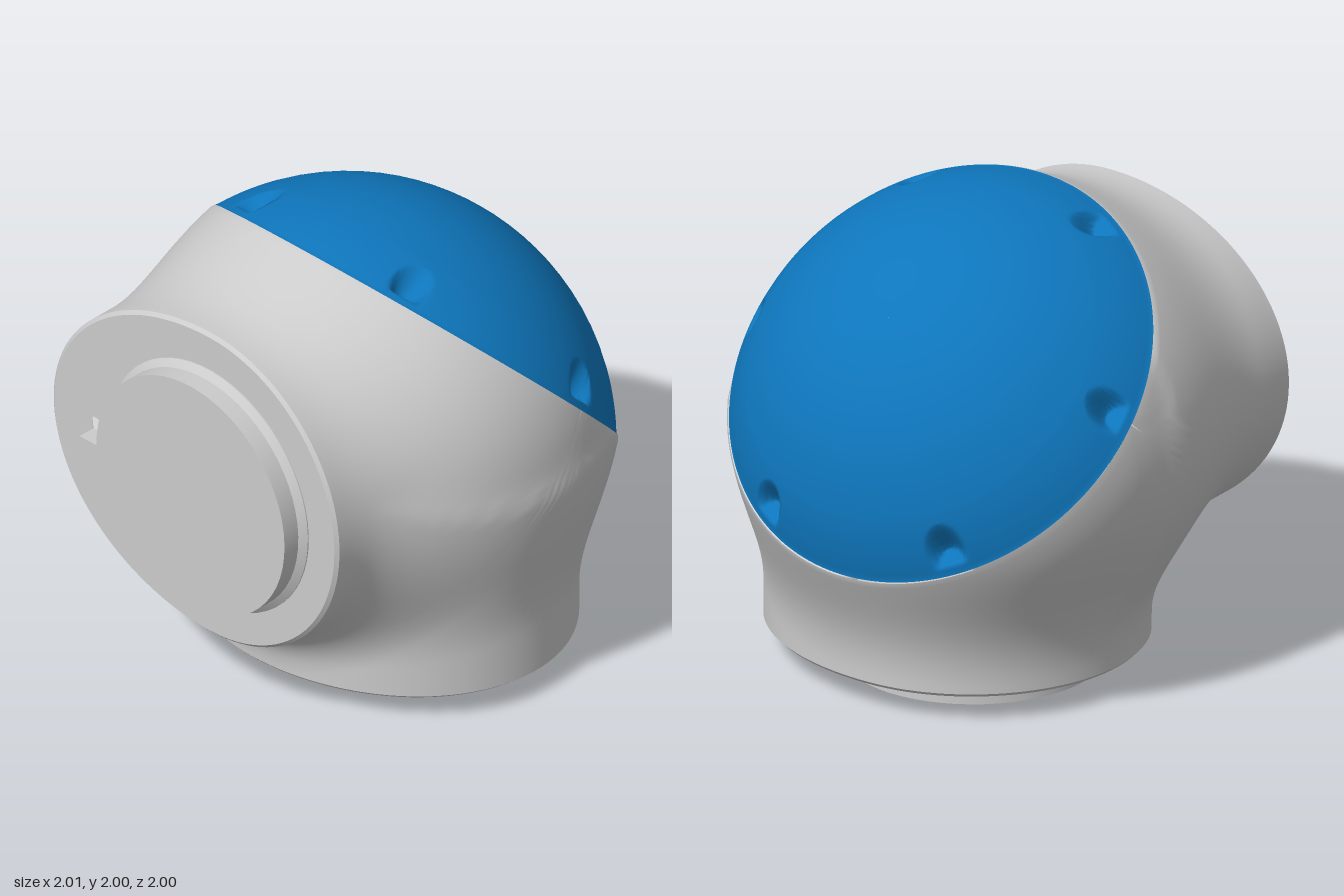
import * as THREE from 'three';
import { mergeGeometries, mergeVertices, toCreasedNormals } from 'three/addons/utils/BufferGeometryUtils.js';

const V = (x, y, z) => new THREE.Vector3(x, y, z);
const grey = new THREE.MeshStandardMaterial({ color: 0xcccccc });
const blue = new THREE.MeshStandardMaterial({ color: 0x0e76bc });

const S = Math.SQRT1_2;
const RIM = V(0, 1.31, -0.305), RIM_R = 0.94;      // cover rim circle, tilted 45 degrees
const AXIS = V(0, S, -S), TILT = V(0, S, S);       // cover axis and its in-plane partner
const CORE = V(0, 1, 0);                           // inner point the shell is seen from
const PORT_Y = 1.08, PORT_R = 0.73, FACE_Z = 0.89;

// half turn about the cover axis: carries the front port onto the bottom port
const HALF_TURN = new THREE.Matrix4().set(-1, 0, 0, 0, 0, 0, -1, 1, 0, -1, 0, 1, 0, 0, 0, 1);

// surface through rows of points; point(u, v) with u closed around
function loft(nu, rows, point) {
  const pos = [], idx = [];
  rows.forEach((v, j) => {
    for (let i = 0; i < nu; i++) {
      pos.push(...point((i / nu) * Math.PI * 2, v).toArray());
      if (!j) continue;
      const a = (j - 1) * nu + i, b = (j - 1) * nu + ((i + 1) % nu);
      idx.push(a, a + nu, b, b, a + nu, b + nu);
    }
  });
  const g = new THREE.BufferGeometry();
  g.setAttribute('position', new THREE.Float32BufferAttribute(pos, 3));
  g.setIndex(idx);
  return g;
}

const steps = (a, b, n) => Array.from({ length: n + 1 }, (_, i) => a + ((b - a) * i) / n);

// port outline: round, wider on the key side
const portPoint = (u, scale, z) => {
  const c = Math.cos(u);
  return V(c * (c < 0 ? 0.9 : 0.725) * scale, PORT_Y + Math.sin(u) * PORT_R * scale, z);
};

// shell as a soft union of a ball and two pipes
const smin = (a, b, k) => {
  const h = Math.max(k - Math.abs(a - b), 0) / k;
  return Math.min(a, b) - (h * h * k) / 4;
};
const pipe = (x, y, z) =>
  Math.max((Math.hypot(x / (x < 0 ? 0.9 : 0.725), (y - PORT_Y) / PORT_R) - 1) * 0.75, 0.05 - z);
const shellField = (p) => {
  const ball = Math.hypot(p.x, p.y - 1.105, p.z + 0.1) - 0.985;
  const pipes = smin(pipe(p.x, p.y, p.z), pipe(-p.x, 1 - p.z, 1 - p.y), 0.26);
  return smin(ball, pipes, 0.2);
};

// first point where a ray from the core leaves the shell
function shellHit(dir) {
  const at = (t) => CORE.clone().addScaledVector(dir, t);
  let hi = 0.4;
  while (hi < 1.6 && shellField(at(hi)) < 0) hi += 0.02;
  let lo = hi - 0.02;
  for (let i = 0; i < 14; i++) {
    const m = (lo + hi) / 2;
    if (shellField(at(m)) < 0) lo = m; else hi = m;
  }
  return at(hi);
}

// half shell: from the port edge to half the cover rim and the mitre between the pipes
function halfShell() {
  const rimAngle = Math.atan2(RIM.clone().sub(CORE).dot(AXIS), RIM_R);
  return loft(112, steps(0, 1, 36), (u, v) => {
    const start = portPoint(u, 1, FACE_Z - 0.015);
    if (v === 0) return start;
    const onRim = u <= Math.PI + 1e-6;
    let end;
    if (onRim) {
      end = RIM.clone().addScaledVector(TILT, Math.sin(u) * RIM_R);
      end.x = Math.cos(u) * RIM_R;
      if (v === 1) return end;
      end.sub(CORE).normalize();
    } else {
      const f = u / Math.PI - 1;
      const a = Math.PI - rimAngle + f * (Math.PI + 2 * rimAngle);
      end = AXIS.clone().multiplyScalar(Math.sin(a));
      end.x = Math.cos(a);
    }
    return shellHit(start.sub(CORE).normalize().lerp(end, v).normalize());
  });
}

// spigot outline with its locating key
function spigotShape() {
  const s = new THREE.Shape();
  s.absarc(0, 0, 0.535, Math.PI + 0.255, Math.PI * 3 + 0.01, false);
  s.lineTo(-0.63, -0.005);
  s.lineTo(-0.63, -0.135);
  s.closePath();
  return s;
}

function createPort() {
  const port = new THREE.Group();
  const add = (geo, name) => {
    const m = new THREE.Mesh(geo, grey);
    m.name = name;
    port.add(m);
    return m;
  };
  // flat face with a small chamfer
  const face = loft(112, [0.001, 0.98, 1], (u, s) => portPoint(u, s, s === 1 ? FACE_Z - 0.015 : FACE_Z));
  add(toCreasedNormals(face, 0.4), 'portFace');
  // spigot and the fillet at its foot
  const body = new THREE.ExtrudeGeometry(spigotShape(), { depth: 0.15, bevelEnabled: false, curveSegments: 28 });
  add(toCreasedNormals(body, 0.5), 'spigot').position.set(0, 1.075, 0.85);
  const foot = new THREE.ExtrudeGeometry(spigotShape(), {
    depth: 0.01, bevelSize: 0.03, bevelThickness: 0.025, bevelSegments: 1, curveSegments: 28,
  });
  add(toCreasedNormals(foot, 0.5), 'spigotFoot').position.set(0, 1.075, 0.885);
  return port;
}

// domed cover with six screw pockets at the rim
function createCover() {
  const R = 1.093, sink = 0.563;
  const rows = [0.001, ...steps(0.07, 0.77, 10), ...steps(0.78, RIM_R, 20)];
  const geo = loft(360, rows, (u, r) => {
    let h = Math.max(Math.sqrt(R * R - r * r) - sink, 0);
    const off = u - Math.round(u / (Math.PI / 3)) * (Math.PI / 3);
    const dist = Math.hypot(r * Math.sin(off), Math.min(0, r * Math.cos(off) - 0.885)) - 0.07;
    const keep = THREE.MathUtils.smoothstep(dist, -0.015, 0.012);
    h = THREE.MathUtils.lerp(Math.min(h, 0.03), h, keep);
    return V(Math.cos(u) * r, h, -Math.sin(u) * r);
  });
  geo.computeVertexNormals();
  const cover = new THREE.Mesh(geo, blue);
  cover.name = 'cover';
  cover.position.copy(RIM);
  cover.rotation.x = -Math.PI / 4;
  return cover;
}

export function createModel() {
  const model = new THREE.Group();
  model.name = 'jointHousing';

  // shell: one half and its half turn
  const half = halfShell();
  const shellGeo = mergeVertices(mergeGeometries([half, half.clone().applyMatrix4(HALF_TURN)]), 1e-3);
  shellGeo.computeVertexNormals();
  const shell = new THREE.Mesh(shellGeo, grey);
  shell.name = 'shell';
  model.add(shell);

  // front and bottom ports
  const front = createPort();
  front.name = 'frontPort';
  const bottom = createPort();
  bottom.name = 'bottomPort';
  bottom.applyMatrix4(HALF_TURN);
  model.add(front, bottom, createCover());
  return model;
}
